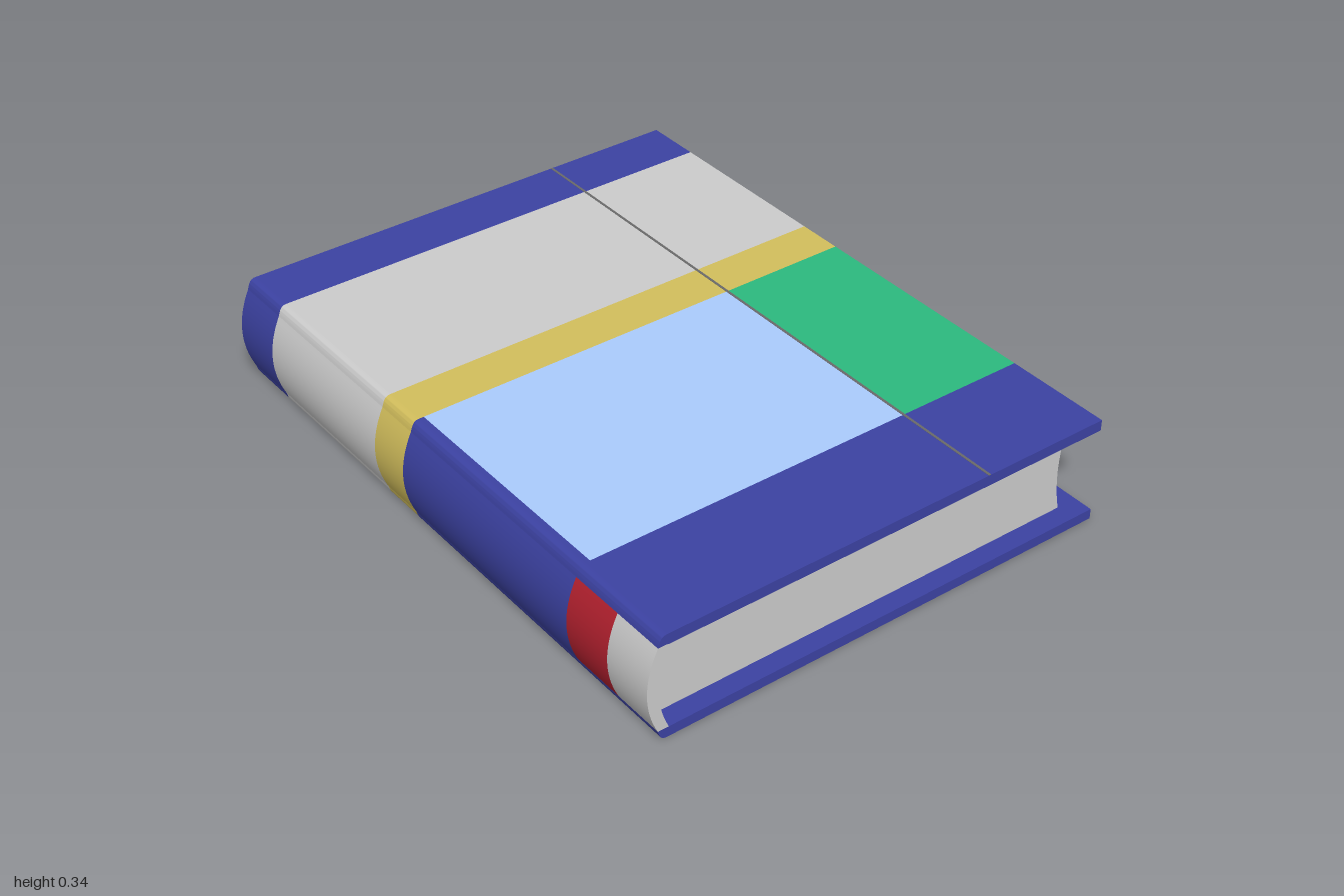
import * as THREE from 'three';
import { toCreasedNormals } from 'three/addons/utils/BufferGeometryUtils.js';

const COLORS = {
  grey: 0xcccccc, blue: 0x3c42a2, sky: 0xaacbfd, green: 0x2cb97e,
  yellow: 0xd2be5c, red: 0xb5212f, line: 0x6a6a6a,
};
const H = 0.335, T = 0.032;           // book height, board thickness
const MID = H / 2, TOP = H - T;       // mid height, underside of top board
const X0 = -0.705, X1 = 0.765;        // flat part of the boards

export function createModel() {
  const book = new THREE.Group();
  book.name = 'book';
  const mats = {};
  for (const key in COLORS) mats[key] = new THREE.MeshStandardMaterial({ color: COLORS[key] });

  function add(name, geometry, color) {
    const mesh = new THREE.Mesh(geometry, mats[color]);
    mesh.name = name;
    book.add(mesh);
  }
  // Box given by its limits
  function box(name, color, x0, x1, y0, y1, z0, z1) {
    const g = new THREE.BoxGeometry(x1 - x0, y1 - y0, z1 - z0);
    g.translate((x0 + x1) / 2, (y0 + y1) / 2, (z0 + z1) / 2);
    add(name, g, color);
  }
  // Cross-section swept along z
  function sweep(name, color, shape, z0, z1) {
    const g = new THREE.ExtrudeGeometry(shape, { depth: z1 - z0, bevelEnabled: false, curveSegments: 20 });
    g.translate(0, 0, z0);
    add(name, toCreasedNormals(g, 0.5), color);
  }

  // Rounded board edge beside the spine; flip mirrors it to the lower board
  function cornerShape(flip) {
    const y = (v) => (flip ? H - v : v);
    const s = new THREE.Shape();
    s.moveTo(X0, y(TOP));
    s.lineTo(X0, y(H));
    s.bezierCurveTo(X0 - 0.017, y(H), X0 - 0.022, y(H - 0.01), -0.733, y(TOP));
    s.closePath();
    return s;
  }
  // Curved spine wall
  const spine = new THREE.Shape();
  spine.moveTo(-0.733, TOP);
  spine.quadraticCurveTo(-0.8, MID, -0.733, T);
  spine.lineTo(-0.701, T);
  spine.quadraticCurveTo(-0.765, MID, -0.701, TOP);

  // Grey lining inside the spine
  const lining = new THREE.Shape();
  lining.moveTo(-0.701, TOP);
  lining.quadraticCurveTo(-0.765, MID, -0.701, T);
  lining.lineTo(-0.699, T);
  lining.quadraticCurveTo(-0.763, MID, -0.699, TOP);
  sweep('spineLining', 'grey', lining, -1, 1);

  // Page block, hollow at the fore edge and rounded at the back
  const pages = new THREE.Shape();
  pages.moveTo(-0.697, T);
  pages.lineTo(0.697, T);
  pages.quadraticCurveTo(0.663, MID, 0.697, TOP);
  pages.lineTo(-0.697, TOP);
  pages.quadraticCurveTo(-0.725, MID, -0.697, T);
  sweep('pageBlock', 'grey', pages, -0.94, 0.94);

  // Colour bands along the book: [z0, z1, top board, board corners, spine]
  const bands = [
    [-1, -0.82, 'blue', 'blue', 'blue'],
    [-0.82, -0.255, 'grey', 'grey', 'grey'],
    [-0.255, -0.11, 'yellow', 'yellow', 'yellow'],
    [-0.11, 0.66, null, 'blue', 'blue'],
    [0.66, 0.835, 'blue', 'blue', 'red'],
    [0.835, 1, 'blue', 'blue', 'grey'],
  ];
  const SKIN = 0.003;
  for (const [z0, z1, board, corner, back] of bands) {
    if (board) box('topBoard', board, X0, X1, TOP, H, z0, z1);
    sweep('topCorner', corner, cornerShape(false), z0, z1);
    sweep('bottomCorner', corner, cornerShape(true), z0, z1);
    sweep('spine', back, spine, z0, z1);
    box('bottomSkin', corner, X0, X1, 0, SKIN, z0, z1);
  }

  // Panels of the top board
  box('topBoard', 'blue', X0, -0.69, TOP, H, -0.11, 0.66);
  box('skyPanel', 'sky', -0.69, 0.355, TOP, H, -0.11, 0.66);
  box('greenPanel', 'green', 0.355, X1, TOP, H, -0.11, 0.66);

  // Blue inside of the top board, blue core of the bottom board
  box('topLining', 'blue', X0, X1 - 0.002, TOP - 0.002, TOP, -1, 1);
  box('bottomBoard', 'blue', X0, X1, SKIN, T, -1, 1);

  // Thin line along the top board
  box('coverLine', 'line', 0.35, 0.358, H - 0.002, H + 0.001, -1, 1);

  return book;
}
